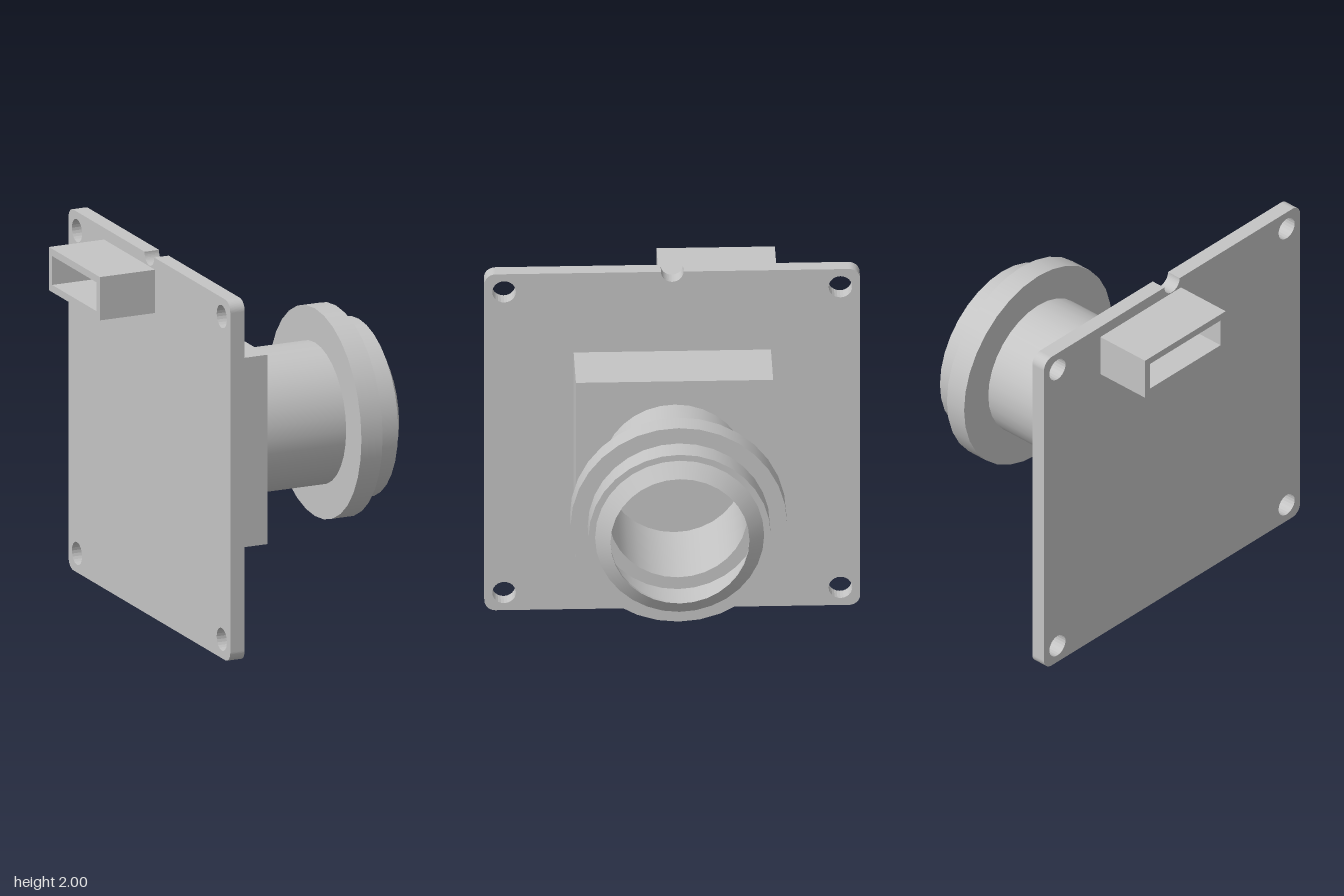
import * as THREE from 'three';
import { mergeGeometries } from 'three/addons/utils/BufferGeometryUtils.js';

// Extrude a shape (drawn in -z / y) along +x from x0 to x1
function extrudeX(shape, x0, x1) {
  const geo = new THREE.ExtrudeGeometry(shape, { depth: x1 - x0, bevelEnabled: false, curveSegments: 12 });
  return geo.rotateY(Math.PI / 2).translate(x0, 0, 0);
}

// Revolve [radius, x] points about the x axis, with a sharp edge at every point
function turnedX(points, segments = 32) {
  const bands = [];
  for (let i = 0; i < points.length - 1; i++) {
    const pair = [points[i], points[i + 1]].map(([r, x]) => new THREE.Vector2(r, x));
    bands.push(new THREE.LatheGeometry(pair, segments));
  }
  return mergeGeometries(bands).rotateZ(-Math.PI / 2);
}

function rectangle(target, x0, y0, x1, y1) {
  target.moveTo(x0, y0);
  target.lineTo(x1, y0);
  target.lineTo(x1, y1);
  target.lineTo(x0, y1);
  target.closePath();
  return target;
}

export function createModel() {
  const model = new THREE.Group();
  model.name = 'cameraModule';
  const grey = new THREE.MeshStandardMaterial({ color: 0xc4c4c4 });
  grey.name = 'grey';

  const add = (name, geometry) => {
    const mesh = new THREE.Mesh(geometry, grey);
    mesh.name = name;
    model.add(mesh);
    return mesh;
  };

  // Circuit board: rounded corners, notch in the top edge, four screw holes
  const r = 0.06;
  const board = new THREE.Shape();
  board.moveTo(-1 + r, 0);
  board.lineTo(1 - r, 0);
  board.absarc(1 - r, r, r, -Math.PI / 2, 0, false);
  board.lineTo(1, 2 - r);
  board.absarc(1 - r, 2 - r, r, 0, Math.PI / 2, false);
  board.lineTo(0.06, 2);
  board.absarc(0, 2, 0.06, 0, -Math.PI, true);
  board.lineTo(-1 + r, 2);
  board.absarc(-1 + r, 2 - r, r, Math.PI / 2, Math.PI, false);
  board.lineTo(-1, r);
  board.absarc(-1 + r, r, r, Math.PI, Math.PI * 1.5, false);
  for (const sx of [-1, 1]) {
    for (const sy of [-1, 1]) {
      const hole = new THREE.Path();
      hole.absarc(sx * 0.895, 1 + sy * 0.895, 0.063, 0, Math.PI * 2, true);
      board.holes.push(hole);
    }
  }
  add('circuitBoard', extrudeX(board, -0.485, -0.4));

  // Open socket on the rear of the board
  const socket = rectangle(new THREE.Shape(), -0.07, 1.695, 0.56, 1.935);
  socket.holes.push(rectangle(new THREE.Path(), -0.03, 1.735, 0.52, 1.895));
  add('connectorSocket', extrudeX(socket, -0.81, -0.485));

  // Square sensor housing
  add('sensorHousing', new THREE.BoxGeometry(0.36, 1.05, 1.05)).position.set(-0.22, 1.003, 0);

  // Hollow lens: barrel, flange, front ring, tapered lip, inner cavity and bore
  const lens = add('lensBarrel', turnedX([
    [0.387, -0.04], [0.387, 0.49],
    [0.576, 0.49], [0.576, 0.615],
    [0.485, 0.615], [0.485, 0.75],
    [0.45, 0.75], [0.37, 0.81],
    [0.37, 0.79], [0.44, 0.74],
    [0.44, 0.5], [0.37, 0.5],
    [0.37, -0.035], [0, -0.035],
  ].map(([radius, x]) => [radius, x]), 32));
  lens.geometry.computeBoundingSphere();
  lens.position.y = 1.003;

  return model;
}
